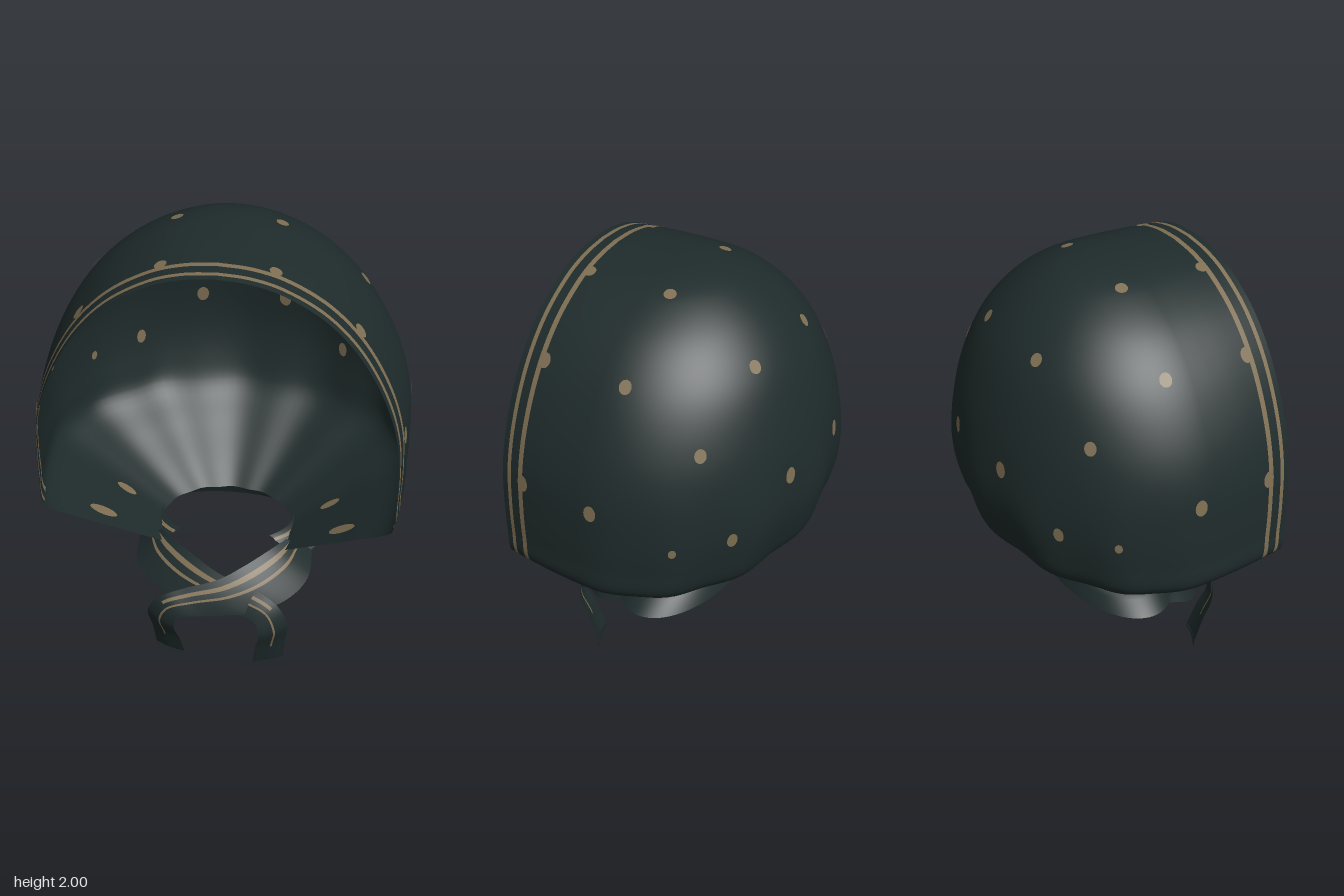
import * as THREE from 'three';
import { mergeVertices } from 'three/addons/utils/BufferGeometryUtils.js';

const V = (x, y, z) => new THREE.Vector3(x, y, z);
const range = (n, a = 0, b = 1) => Array.from({ length: n + 1 }, (_, i) => a + (b - a) * i / n);

// Smooth sheet over a grid; striped(i, j) chooses the second material per cell
function sheet(point, us, vs, striped) {
  const pos = [], cells = [[], []], n = vs.length;
  for (const u of us) for (const v of vs) pos.push(...point(u, v).toArray());
  for (let i = 0; i < us.length - 1; i++) for (let j = 0; j < n - 1; j++) {
    const a = i * n + j, b = a + n;
    cells[striped(i, j) ? 1 : 0].push(a, a + 1, b, b, a + 1, b + 1);
  }
  let g = new THREE.BufferGeometry();
  g.setAttribute('position', new THREE.Float32BufferAttribute(pos, 3));
  g.setIndex([...cells[0], ...cells[1]]);
  g.addGroup(0, cells[0].length, 0);
  g.addGroup(cells[0].length, cells[1].length, 1);
  g = mergeVertices(g, 1e-5);
  g.computeVertexNormals();
  return g;
}

// Hood profile: half width (x), height (y), depth of the rounded back behind MID (z)
const MID = 0.12;
const profile = new THREE.CatmullRomCurve3([
  V(0.28, 0.55, 0.22), V(0.40, 0.63, 0.31), V(0.575, 0.75, 0.45), V(0.74, 0.88, 0.58), V(0.75, 1.0, 0.625),
  V(0.75, 1.15, 0.65), V(0.735, 1.32, 0.64), V(0.68, 1.5, 0.605), V(0.57, 1.7, 0.53), V(0.43, 1.85, 0.41),
  V(0.26, 1.95, 0.265), V(0.13, 1.988, 0.14), V(0, 2.0, 0),
]);

// a: -2 and 2 are the front edges, -1..1 is the rounded back; t runs from neck to crown
function hoodPoint(a, t) {
  const p = profile.getPoint(t), m = Math.abs(a), sign = Math.sign(a);
  if (m > 1) {
    const s = m - 1, front = p.y > 0.88 ? 0.5 : 0.28 + 0.22 * (p.y - 0.55) / 0.33;
    return V(sign * p.x * (1 - 0.05 * s * s), p.y - 0.014 * s * s, MID + (front - MID) * s);
  }
  const th = a * Math.PI / 2;
  const fade = THREE.MathUtils.clamp((1.4 - p.y) / 0.5, 0, 1) * Math.cos(th);
  const fold = 1 + 0.018 * fade * Math.cos(a * 20);
  return V(p.x * Math.sin(th) * fold, p.y, MID - p.z * Math.cos(th) * fold);
}

function heightToT(y) {
  let lo = 0, hi = 1;
  for (let i = 0; i < 30; i++) {
    const mid = (lo + hi) / 2;
    if (profile.getPoint(mid).y < y) lo = mid; else hi = mid;
  }
  return lo;
}

export function createModel() {
  const model = new THREE.Group();
  const cloth = new THREE.MeshStandardMaterial({ color: 0x1f2b2b, side: THREE.DoubleSide });
  cloth.name = 'dark teal cloth';
  const tan = new THREE.MeshStandardMaterial({ color: 0x7f6f53, side: THREE.DoubleSide });
  tan.name = 'tan print';
  const add = (geometry, material, name, parent = model) => {
    const mesh = new THREE.Mesh(geometry, material);
    mesh.name = name;
    parent.add(mesh);
    return mesh;
  };

  // Hood with two printed bands beside the front edge
  const half = [...range(32), 1.2, 1.4, 1.55, 1.715, 1.775, 1.88, 1.93, 2];
  const us = [...half.slice(1).reverse().map(a => -a), ...half];
  const ts = range(72);
  const inBand = m => (m > 1.715 && m < 1.775) || (m > 1.88 && m < 1.93);
  add(sheet(hoodPoint, us, ts, (i, j) =>
    inBand(Math.abs(us[i] + us[i + 1]) / 2) && profile.getPoint(ts[j]).y > 0.86), [cloth, tan], 'hood');

  // Printed dots, on the outside and the inside of the hood: [a, height, stretch, radius]
  const dots = new THREE.Group();
  dots.name = 'dots';
  model.add(dots);
  const spots = [
    [0.24, 1.76, 1.1, 0.025], [0.53, 1.52, 1.2, 0.024], [0.16, 1.31, 1.4, 0.026], [0.41, 1.13, 1.5, 0.022],
    [0.63, 1.12, 1.3, 0.016], [0.87, 1.74, 1.15, 0.025], [0.94, 1.27, 1.35, 0.026], [1.69, 1.74, 1.2, 0.026],
    [1.7, 1.28, 1.4, 0.026], [0.73, 1.965, 1, 0.025], [1.69, 1.967, 1, 0.025],
    [1.72, 0.71, 2.8, 0.024], [0.97, 0.66, 2.4, 0.02],
  ];
  for (const [a0, y, stretch, radius] of spots) for (const side of [-1, 1]) {
    const a = a0 * side, t = heightToT(y), e = 0.004;
    const across = hoodPoint(a + e, t).sub(hoodPoint(a - e, t)).normalize();
    const rise = hoodPoint(a, t + e).sub(hoodPoint(a, t - e)).normalize();
    const normal = across.clone().cross(rise).normalize();
    across.copy(rise).cross(normal);
    for (const off of [-0.005, 0.005]) {
      const g = new THREE.CircleGeometry(radius, 16).scale(1, stretch, 1);
      g.applyMatrix4(new THREE.Matrix4().makeBasis(across, rise, normal));
      const c = hoodPoint(a, t).addScaledVector(normal, off);
      add(g.translate(c.x, c.y, c.z), tan, 'dot', dots);
    }
  }

  // Flared neckband, open at the front: [x radius, z radius, height]
  const rings = [[0.285, 0.19, 0.56], [0.31, 0.2, 0.552], [0.325, 0.207, 0.542], [0.36, 0.215, 0.53],
    [0.425, 0.235, 0.475]];
  const open = 0.75;
  add(sheet((u, v) => V(rings[v][0] * Math.sin(u), rings[v][2], 0.08 + rings[v][1] * Math.cos(u)),
    range(56, open, 2 * Math.PI - open), [0, 1, 2, 3, 4], (i, j) => j === 1), [cloth, tan], 'neckband');

  // Crossed ties: each ribbon is spanned between an upper and a lower edge
  const upper = [[0.27, 0.565, 0.24], [0.20, 0.56, 0.32], [0.10, 0.53, 0.40], [0, 0.49, 0.45], [-0.14, 0.45, 0.475],
    [-0.25, 0.40, 0.49], [-0.30, 0.31, 0.475], [-0.29, 0.18, 0.435], [-0.282, 0.05, 0.40]];
  const lower = [[0.38, 0.47, 0.18], [0.37, 0.42, 0.32], [0.28, 0.38, 0.43], [0.12, 0.355, 0.50], [-0.05, 0.345, 0.525],
    [-0.16, 0.33, 0.535], [-0.18, 0.27, 0.53], [-0.165, 0.17, 0.49], [-0.15, 0.05, 0.45]];
  const widths = [0, 0.16, 0.27, 0.42, 0.49, 0.8, 1];
  const lengths = range(64);

  function tie(name, side, back, drop) {
    const group = new THREE.Group();
    group.name = name;
    model.add(group);
    const edge = pts => new THREE.CatmullRomCurve3(pts.map(([x, y, z], i) =>
      V(x * side, y - drop * Math.max(0, i - 4) / 4, z - back * Math.sin(Math.PI * Math.min(1, i / 6)))));
    const e1 = edge(upper), e2 = edge(lower);
    const point = (u, v) => {
      const p = e1.getPoint(u).lerp(e2.getPoint(u), v);
      p.z += 0.01 * Math.sin(Math.PI * v);
      return p;
    };
    // Two stripes over the knot, a single thin one down the hanging end
    add(sheet(point, lengths, widths, (i, j) =>
      (j === 1 && lengths[i] < 0.62) || (j === 3 && lengths[i] < 0.88)), [cloth, tan], 'ribbon', group);
    // Frayed end
    for (const v of range(11, 0.02, 0.98)) {
      const p = point(1, v), length = 0.024;
      add(new THREE.BoxGeometry(0.004, length, 0.004), cloth, 'fringe', group)
        .position.set(p.x, p.y - length / 2, p.z);
    }
  }
  tie('rightTie', 1, 0, 0);
  tie('leftTie', -1, 0.04, 0.026);

  return model;
}
